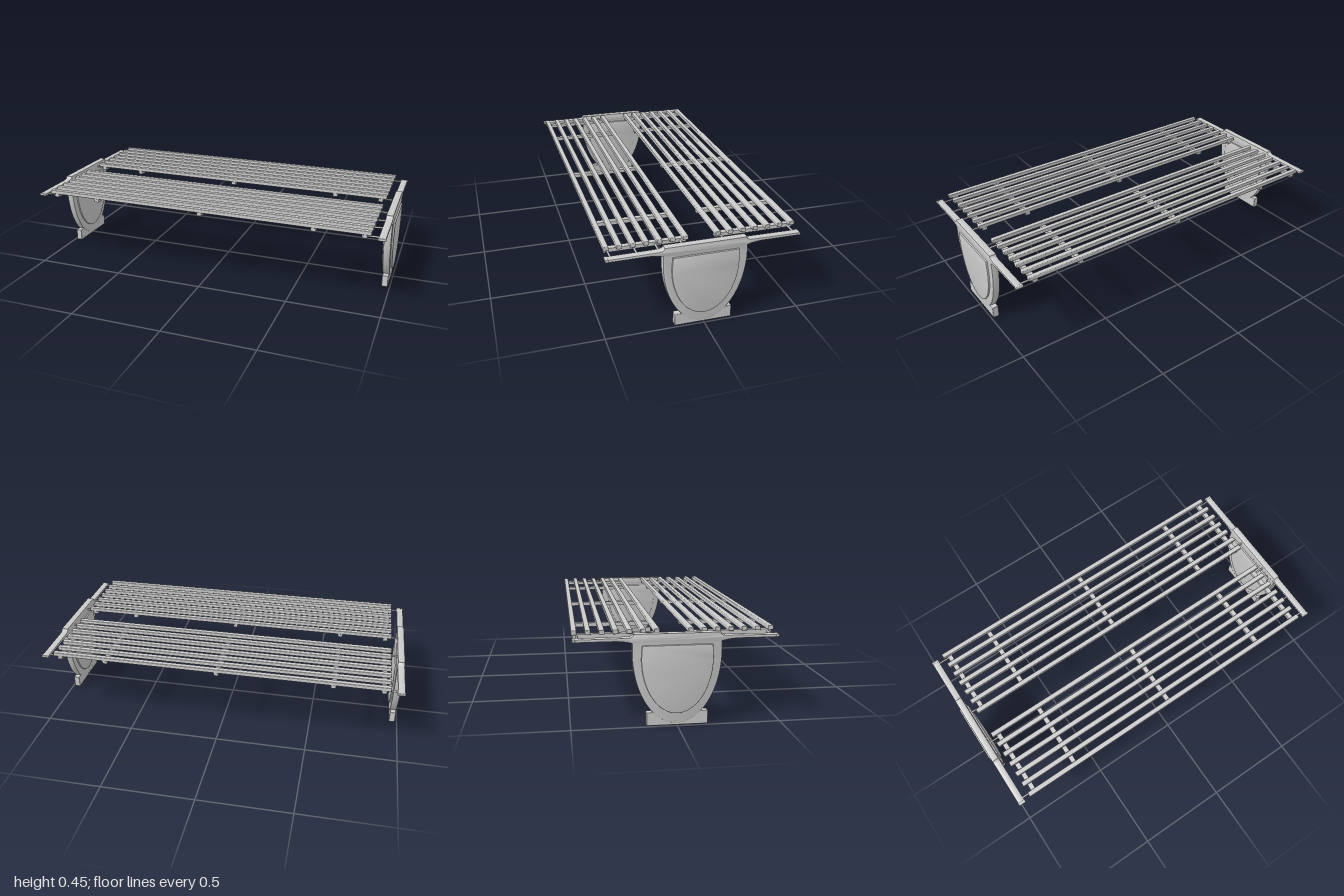
import * as THREE from 'three';
import { RoundedBoxGeometry } from 'three/addons/geometries/RoundedBoxGeometry.js';
import { toCreasedNormals } from 'three/addons/utils/BufferGeometryUtils.js';

export function createModel() {
  const model = new THREE.Group();
  const grey = new THREE.MeshStandardMaterial({ color: 0xcccccc });

  function add(parent, name, geometry, x = 0, y = 0, z = 0) {
    const mesh = new THREE.Mesh(geometry, grey);
    mesh.name = name;
    mesh.position.set(x, y, z);
    parent.add(mesh);
    return mesh;
  }

  // Extrudes a side profile into a bevelled plate, centred across x
  function plate(shape, width, bevel) {
    const depth = width - 2 * bevel;
    const geometry = new THREE.ExtrudeGeometry(shape, {
      depth, curveSegments: 32, bevelSegments: 2,
      bevelThickness: bevel, bevelSize: bevel, bevelOffset: -bevel,
    });
    geometry.translate(0, 0, -depth / 2).rotateY(Math.PI / 2);
    return toCreasedNormals(geometry, 0.6);
  }

  // Leg slab: half-ellipse below, with slender arms sweeping out under the slats
  const slab = new THREE.Shape();
  slab.moveTo(-0.205, 0.445);
  slab.quadraticCurveTo(-0.205, 0.43, -0.23, 0.428);
  slab.lineTo(-0.483, 0.426);
  slab.lineTo(-0.483, 0.412);
  slab.lineTo(-0.29, 0.412);
  slab.quadraticCurveTo(-0.25, 0.411, -0.211, 0.401);
  slab.lineTo(-0.212, 0.36);
  slab.absellipse(0, 0.36, 0.212, 0.35, Math.PI, Math.PI * 2, false);
  slab.lineTo(0.211, 0.401);
  slab.quadraticCurveTo(0.25, 0.411, 0.29, 0.412);
  slab.lineTo(0.483, 0.412);
  slab.lineTo(0.483, 0.426);
  slab.lineTo(0.23, 0.428);
  slab.quadraticCurveTo(0.205, 0.43, 0.205, 0.445);
  slab.closePath();

  // Raised panel on both faces of the slab
  const panel = new THREE.Shape();
  panel.moveTo(0.166, 0.39);
  panel.lineTo(-0.166, 0.39);
  panel.lineTo(-0.17, 0.33);
  panel.absellipse(0, 0.33, 0.17, 0.27, Math.PI, Math.PI * 2, false);
  panel.closePath();

  const slabGeometry = plate(slab, 0.038, 0.004);
  const panelGeometry = plate(panel, 0.056, 0.004);
  const footGeometry = new RoundedBoxGeometry(0.034, 0.066, 0.295, 2, 0.004);
  const capGeometry = new RoundedBoxGeometry(0.042, 0.015, 0.016, 2, 0.004);

  for (const side of [-1, 1]) {
    const leg = new THREE.Group();
    leg.name = side > 0 ? 'leftLeg' : 'rightLeg';
    leg.position.x = side * 0.972;
    add(leg, 'legSlab', slabGeometry);
    add(leg, 'legPanel', panelGeometry);
    add(leg, 'foot', footGeometry, 0, 0.033, 0.002);
    for (const z of [-0.478, 0.478]) add(leg, 'armCap', capGeometry, 0, 0.4195, z);
    model.add(leg);

    // Thin rods tying the end battens to the leg arms
    const rods = [-0.46, -0.106, 0.1, 0.456];
    if (side > 0) rods.push(0.225, 0.33);
    for (const z of rods) {
      const rod = new THREE.CylinderGeometry(0.005, 0.005, 0.1, 12).rotateZ(Math.PI / 2);
      add(model, 'tieRod', rod, side * 0.925, 0.421, z);
    }
  }

  // Two slatted seats carried on cross battens
  const slatGeometry = new RoundedBoxGeometry(1.84, 0.022, 0.027, 2, 0.004);
  const battenGeometry = new THREE.BoxGeometry(0.026, 0.02, 0.405);
  const pitch = 0.0648;
  for (const [name, centre] of [['frontSeat', 0.272], ['backSeat', -0.28]]) {
    const seat = new THREE.Group();
    seat.name = name;
    seat.position.z = centre;
    for (let i = -3; i <= 3; i++) add(seat, 'slat', slatGeometry, 0, 0.4425, i * pitch);
    for (const x of [-0.885, -0.625, 0, 0.625, 0.885]) {
      add(seat, 'batten', battenGeometry, x, 0.423, 0);
    }
    model.add(seat);
  }

  return model;
}
